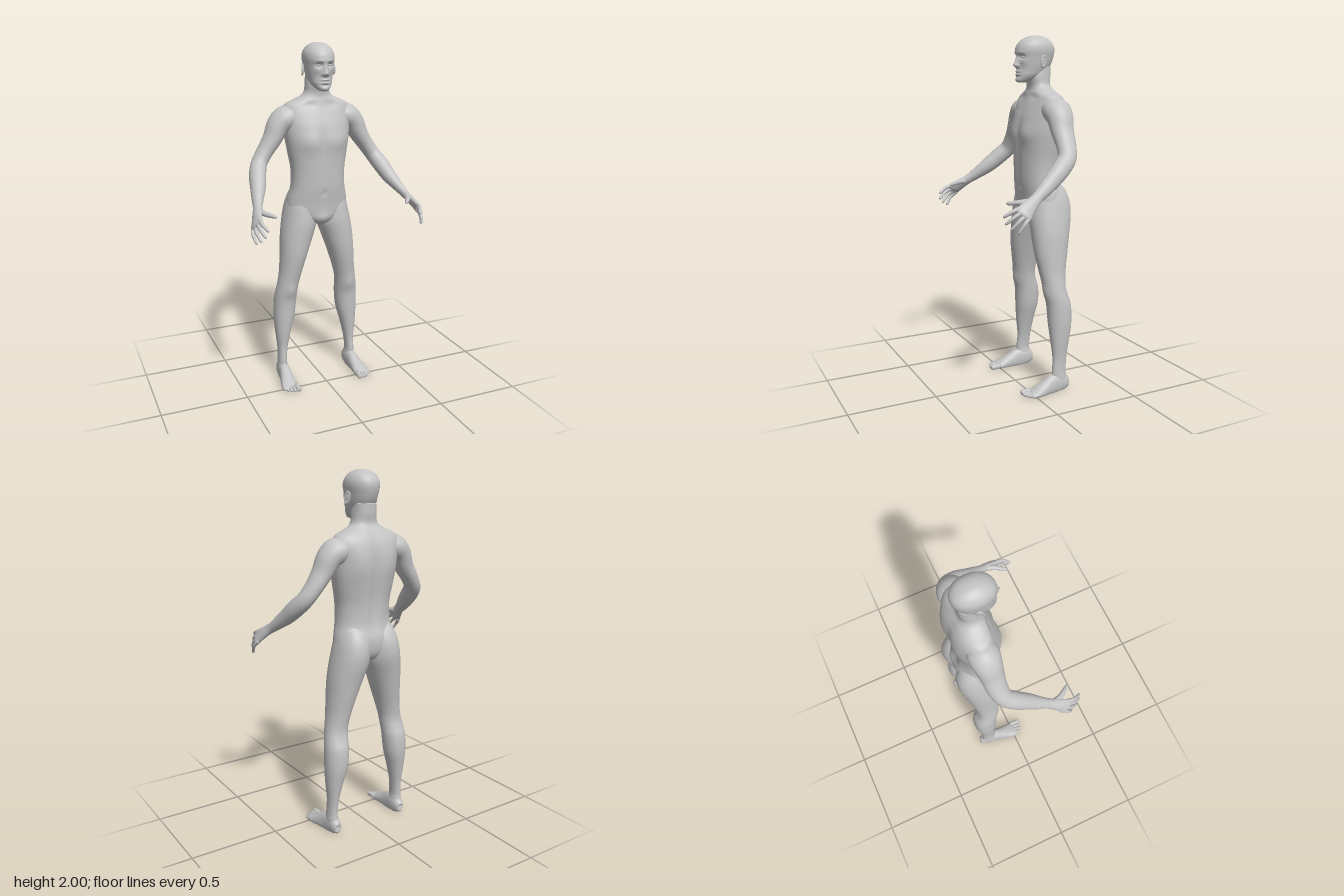
import * as THREE from 'three';

const skin = new THREE.MeshStandardMaterial({ color: 0xc4c4c4 });
skin.name = 'plain grey';

const V = (x, y, z) => new THREE.Vector3(x, y, z);

// Smooth surface through sections [x, y, z, halfWidth, halfDepth].
// ref is the depth direction; upright keeps every ring horizontal.
function loft(rows, { seg = 40, steps = 5, ref = V(0, 0, 1), upright = false, power = 2, shape } = {}) {
  const at = (i) => rows[Math.max(0, Math.min(rows.length - 1, i))];
  const rings = [];
  for (let i = 0; i < rows.length - 1; i++) {
    const last = i === rows.length - 2 ? 1 : 0;
    for (let k = 0; k < steps + last; k++) {
      const t = k / steps;
      rings.push(rows[0].map((_, c) => {
        const [p, q, r, s] = [at(i - 1)[c], at(i)[c], at(i + 1)[c], at(i + 2)[c]];
        return 0.5 * (2 * q + (r - p) * t + (2 * p - 5 * q + 4 * r - s) * t * t + (3 * q - p - 3 * r + s) * t ** 3);
      }));
    }
  }
  const pos = [], index = [];
  const centre = (r) => V(r[0], r[1], r[2]);
  const round = (v) => Math.sign(v) * Math.abs(v) ** (2 / power);
  rings.forEach((r, i) => {
    const T = upright ? V(0, 1, 0)
      : centre(rings[Math.min(i + 1, rings.length - 1)]).sub(centre(rings[Math.max(i - 1, 0)])).normalize();
    const A = T.clone().cross(ref).normalize();
    const B = A.clone().cross(T);
    for (let j = 0; j < seg; j++) {
      const u = j / seg * Math.PI * 2;
      const p = centre(r)
        .addScaledVector(A, Math.max(r[3], 0.0005) * round(Math.cos(u)))
        .addScaledVector(B, Math.max(r[4], 0.0005) * round(Math.sin(u)));
      if (shape) shape(p, Math.sin(u));
      pos.push(p.x, p.y, p.z);
      if (i < rings.length - 1) {
        const a = i * seg + j, c = i * seg + (j + 1) % seg;
        index.push(a, a + seg, c, c, a + seg, c + seg);
      }
    }
  });
  // Close both ends
  const n = pos.length / 3, top = n - seg;
  for (const r of [rings[0], rings[rings.length - 1]]) {
    const p = centre(r);
    if (shape) shape(p, 0);
    pos.push(p.x, p.y, p.z);
  }
  for (let j = 0; j < seg; j++) {
    const k = (j + 1) % seg;
    index.push(n, j, k, n + 1, top + k, top + j);
  }
  const g = new THREE.BufferGeometry();
  g.setAttribute('position', new THREE.Float32BufferAttribute(pos, 3));
  g.setIndex(index);
  g.computeVertexNormals();
  return g;
}

// Rows [y, x0, x1, zFront, zBack] to horizontal sections
const upright = (rows) => rows.map(([y, x0, x1, f, b]) => [(x0 + x1) / 2, y, (f + b) / 2, (x1 - x0) / 2, (f - b) / 2]);
const centred = (rows) => upright(rows.map(([y, w, f, b]) => [y, -w, w, f, b]));

// Soft swellings and hollows [x, y, sizeX, sizeY, amount, side], mirrored in x
const sculpt = (bumps) => (p, s) => {
  let dz = 0;
  for (const [x, y, sx, sy, amount, side] of bumps) {
    const e = ((Math.abs(p.x) - x) / sx) ** 2 + ((p.y - y) / sy) ** 2;
    dz += side * amount * Math.exp(-e / 2) * Math.max(0, side * s);
  }
  p.z += dz;
};

// Mirrored copy with its faces turned back outward
function mirrored(geometry) {
  const g = geometry.clone().scale(-1, 1, 1);
  const ix = g.index.array;
  for (let i = 0; i < ix.length; i += 3) [ix[i], ix[i + 1]] = [ix[i + 1], ix[i]];
  g.computeVertexNormals();
  return g;
}

// Rounded finger or toe through points, thinning to the tip
function digit(points, r0, r1, ref) {
  const curve = new THREE.CatmullRomCurve3(points);
  const rows = [];
  for (let i = 0; i <= 5; i++) {
    const p = curve.getPoint(i / 5 * 0.9), r = r0 + (r1 - r0) * i / 5;
    rows.push([p.x, p.y, p.z, r, r]);
  }
  for (const [t, k] of [[0.96, 0.75], [0.99, 0.4], [1, 0.05]]) {
    const p = curve.getPoint(t);
    rows.push([p.x, p.y, p.z, r1 * k, r1 * k]);
  }
  return loft(rows, { seg: 14, steps: 2, ref });
}

export function createModel() {
  const model = new THREE.Group();
  model.name = 'figure';
  const add = (name, g) => {
    const m = new THREE.Mesh(g, skin);
    m.name = name;
    model.add(m);
  };
  const pair = (name, g) => {
    add('left' + name, g);
    add('right' + name, mirrored(g));
  };

  // Torso and neck
  add('torso', loft(centred([
    [0.975, 0.02, -0.08, -0.18], [0.99, 0.06, -0.06, -0.22], [1.02, 0.13, -0.045, -0.25],
    [1.06, 0.178, -0.04, -0.265], [1.12, 0.178, -0.034, -0.268], [1.2, 0.16, -0.024, -0.248],
    [1.3, 0.158, -0.02, -0.248], [1.4, 0.174, -0.018, -0.262], [1.48, 0.187, -0.018, -0.272],
    [1.55, 0.194, -0.03, -0.272], [1.6, 0.2, -0.048, -0.266], [1.64, 0.198, -0.064, -0.255],
    [1.67, 0.178, -0.074, -0.24], [1.69, 0.133, -0.08, -0.228], [1.71, 0.092, -0.085, -0.214],
    [1.735, 0.071, -0.084, -0.206], [1.78, 0.065, -0.075, -0.21], [1.83, 0.06, -0.09, -0.21]]), {
    seg: 80, steps: 6, upright: true, power: 2.25,
    shape: sculpt([
      [0.09, 1.46, 0.05, 0.04, 0.012, 1], [0, 1.46, 0.015, 0.08, -0.006, 1],
      [0, 1.25, 0.012, 0.1, -0.004, 1], [0, 1.17, 0.01, 0.01, -0.007, 1],
      [0, 1.02, 0.025, 0.025, 0.01, 1], [0.1, 1.53, 0.04, 0.07, 0.01, -1],
      [0, 1.4, 0.02, 0.16, -0.014, -1], [0.05, 1.25, 0.025, 0.08, 0.005, -1],
      [0.07, 1.665, 0.03, 0.015, -0.008, 1]]),
  }));

  // Head with sculpted face
  add('head', loft(centred([
    [1.743, 0.012, -0.025, -0.055], [1.748, 0.028, -0.013, -0.08], [1.762, 0.043, -0.01, -0.115],
    [1.785, 0.058, -0.011, -0.155], [1.81, 0.066, -0.013, -0.19], [1.84, 0.073, -0.013, -0.212],
    [1.88, 0.079, -0.01, -0.228], [1.915, 0.084, -0.007, -0.235], [1.945, 0.081, -0.016, -0.23],
    [1.97, 0.068, -0.037, -0.212], [1.986, 0.05, -0.064, -0.188], [1.996, 0.028, -0.093, -0.158],
    [2.0, 0.001, -0.124, -0.126]]), {
    seg: 120, steps: 9, upright: true, power: 2.15,
    shape: sculpt([
      [0, 1.838, 0.011, 0.011, 0.02, 1], [0, 1.862, 0.008, 0.018, 0.012, 1],
      [0.014, 1.834, 0.006, 0.006, 0.007, 1], [0.032, 1.882, 0.014, 0.01, -0.013, 1],
      [0.03, 1.903, 0.02, 0.006, 0.004, 1], [0.05, 1.855, 0.014, 0.012, 0.004, 1],
      [0, 1.803, 0.016, 0.005, 0.008, 1], [0, 1.788, 0.014, 0.005, 0.008, 1],
      [0, 1.796, 0.018, 0.0025, -0.006, 1], [0, 1.775, 0.02, 0.005, -0.004, 1],
      [0, 1.758, 0.018, 0.009, 0.005, 1], [0.035, 1.82, 0.012, 0.02, -0.003, 1]]),
  }));

  // Eyelids and ears
  pair('Eye', new THREE.SphereGeometry(1, 24, 16).scale(0.013, 0.007, 0.01).translate(0.032, 1.881, -0.033));
  const ear = (g) => g.rotateX(-0.2).rotateY(0.35).translate(0.088, 1.857, -0.125);
  pair('Ear', ear(new THREE.SphereGeometry(1, 20, 14).scale(0.007, 0.03, 0.016)));
  pair('EarRim', ear(new THREE.TorusGeometry(0.016, 0.0045, 10, 32).rotateY(Math.PI / 2).scale(1, 1.75, 1).translate(0.003, 0, 0)));

  // Arm running into the palm
  pair('Arm', loft([
    [0.11, 1.605, -0.16, 0.035, 0.05], [0.145, 1.6, -0.16, 0.06, 0.075], [0.187, 1.588, -0.158, 0.07, 0.082],
    [0.228, 1.552, -0.155, 0.063, 0.074], [0.263, 1.485, -0.15, 0.053, 0.064], [0.31, 1.415, -0.146, 0.045, 0.056],
    [0.352, 1.352, -0.127, 0.044, 0.05], [0.378, 1.3, -0.075, 0.046, 0.05], [0.398, 1.245, -0.01, 0.041, 0.045],
    [0.42, 1.2, 0.05, 0.031, 0.036], [0.437, 1.165, 0.1, 0.023, 0.03], [0.455, 1.135, 0.145, 0.02, 0.037],
    [0.469, 1.11, 0.18, 0.017, 0.043], [0.477, 1.098, 0.2, 0.012, 0.04], [0.48, 1.093, 0.208, 0.003, 0.028]]));

  // Fingers from index to little, each bent outward at the middle
  [[0.44, 1.085, 0.29], [0.452, 1.05, 0.286], [0.47, 1.022, 0.262], [0.485, 1.003, 0.228]].forEach((tip, i) => {
    const t = i / 3;
    const base = V(0.456 + 0.026 * t, 1.131 - 0.045 * t, 0.192 - 0.033 * t);
    const end = V(...tip);
    const mid = base.clone().lerp(end, 0.5).add(V(0.012, 0.007, 0.002));
    pair('Finger' + (i + 1), digit([base, mid, end], 0.0125, 0.0085 - 0.001 * t, V(0, 1, 0)));
  });
  pair('Thumb', digit([V(0.442, 1.155, 0.115), V(0.423, 1.15, 0.175), V(0.379, 1.143, 0.243)], 0.02, 0.0105, V(0, 1, 0)));

  // Leg from ankle to buttock
  pair('Leg', loft(upright([
    [0.04, 0.197, 0.25, -0.135, -0.222], [0.075, 0.194, 0.253, -0.126, -0.216], [0.12, 0.199, 0.25, -0.125, -0.21],
    [0.2, 0.19, 0.25, -0.13, -0.215], [0.3, 0.168, 0.26, -0.12, -0.232], [0.4, 0.142, 0.266, -0.112, -0.248],
    [0.5, 0.131, 0.264, -0.106, -0.247], [0.56, 0.127, 0.257, -0.096, -0.232], [0.62, 0.12, 0.246, -0.086, -0.22],
    [0.7, 0.1, 0.234, -0.07, -0.228], [0.8, 0.069, 0.227, -0.053, -0.248], [0.9, 0.034, 0.22, -0.046, -0.268],
    [0.98, 0.008, 0.208, -0.043, -0.286], [1.04, 0.003, 0.196, -0.047, -0.292], [1.1, 0.006, 0.182, -0.055, -0.284],
    [1.16, 0.02, 0.16, -0.075, -0.255], [1.21, 0.06, 0.13, -0.12, -0.2]]), {
    seg: 48, upright: true, power: 2.1,
    shape: sculpt([[0.188, 0.58, 0.025, 0.03, 0.008, 1], [0.16, 0.44, 0.02, 0.06, 0.006, -1],
      [0.2, 0.58, 0.02, 0.03, -0.005, -1]]),
  }));

  // Foot with a flat sole
  const sole = (p) => { p.y = Math.max(p.y, 0.002); };
  pair('Foot', loft([
    [0.222, 0.032, -0.23, 0.006, 0.01], [0.222, 0.032, -0.224, 0.02, 0.028], [0.222, 0.038, -0.205, 0.029, 0.045],
    [0.222, 0.045, -0.17, 0.033, 0.06], [0.225, 0.04, -0.125, 0.034, 0.058], [0.23, 0.028, -0.07, 0.04, 0.042],
    [0.235, 0.018, -0.02, 0.047, 0.028], [0.236, 0.015, 0.005, 0.048, 0.02], [0.234, 0.013, 0.02, 0.042, 0.014],
    [0.232, 0.012, 0.028, 0.026, 0.006]], { seg: 36, ref: V(0, 1, 0), power: 2.2, shape: sole }));

  // Toes from big to little
  [[0.2, 0.065, 0.0145], [0.223, 0.063, 0.0095], [0.242, 0.055, 0.009], [0.259, 0.043, 0.0085], [0.274, 0.028, 0.008]]
    .forEach(([x, z, r], i) => pair('Toe' + (i + 1),
      digit([V(x, 0.019, z - 0.06), V(x, 0.019, z - 0.028), V(x, r + 0.001, z)], r * 1.05, r, V(0, 1, 0))));

  return model;
}
